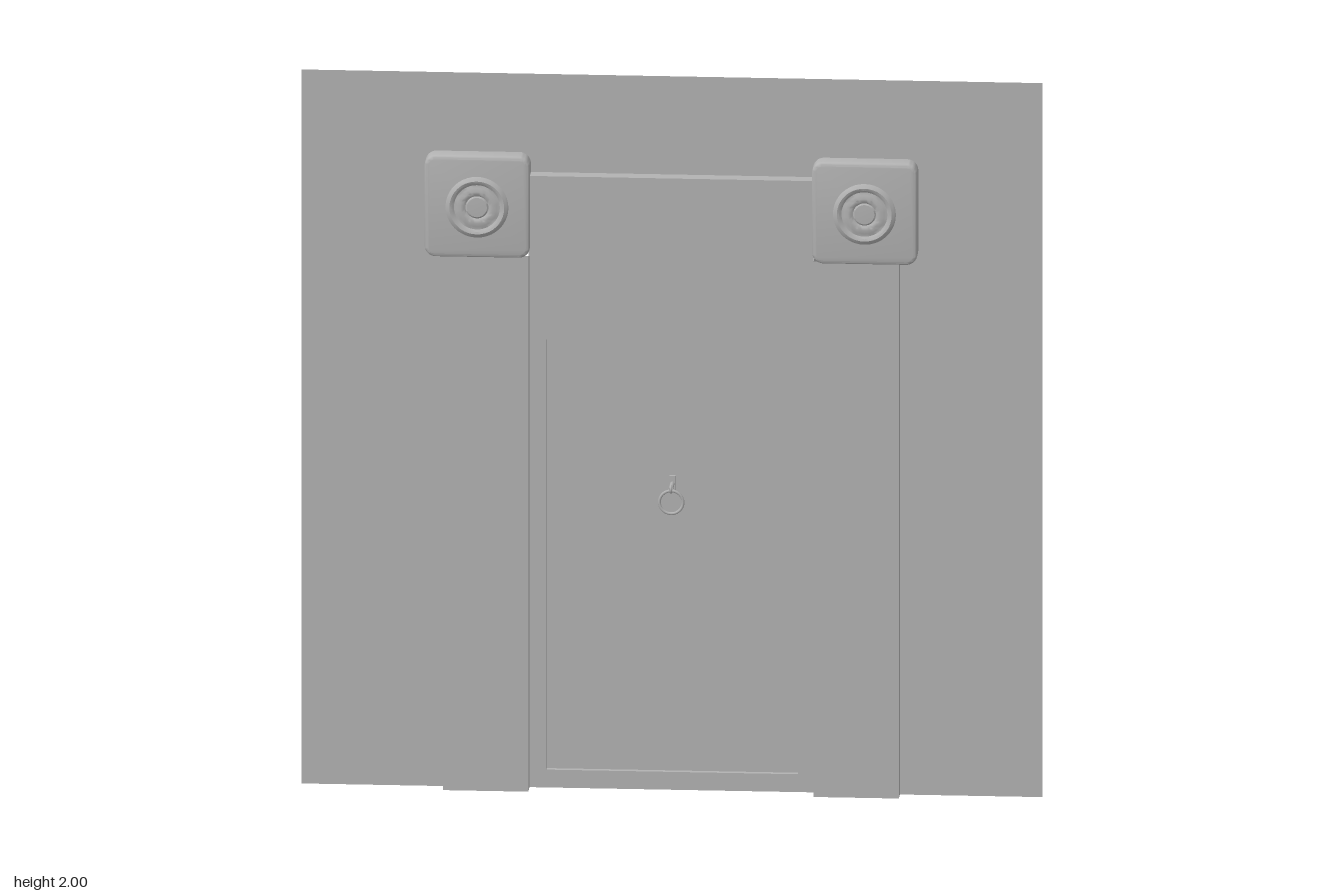
import * as THREE from 'three';
import { toCreasedNormals } from 'three/addons/utils/BufferGeometryUtils.js';

const WALL_Z = 0.08, FRONT_Z = 0.12, BACK_Z = -0.14;
const OPEN_X = 0.385, OPEN_Y = 1.5, PILLAR_X = 0.615;

export function createModel() {
  const root = new THREE.Group();
  root.name = 'doorway';
  const stone = new THREE.MeshStandardMaterial({ color: 0xb2b2b2, side: THREE.DoubleSide });
  stone.name = 'grey stone';

  const add = (name, geometry, x = 0, y = 0, z = 0, parent = root) => {
    const mesh = new THREE.Mesh(geometry, stone);
    mesh.name = name;
    mesh.position.set(x, y, z);
    parent.add(mesh);
    return mesh;
  };
  const polygon = (pts) => new THREE.Shape(pts.map(([x, y]) => new THREE.Vector2(x, y)));
  // Flat sheets facing sideways, upwards or forwards
  const sideSheet = (name, x, y0, y1, z0, z1) =>
    add(name, new THREE.PlaneGeometry(z1 - z0, y1 - y0).rotateY(Math.sign(x) * Math.PI / 2), x, (y0 + y1) / 2, (z0 + z1) / 2);
  const flatSheet = (name, x0, x1, y, z0, z1) =>
    add(name, new THREE.PlaneGeometry(x1 - x0, z1 - z0).rotateX(-Math.PI / 2), (x0 + x1) / 2, y, (z0 + z1) / 2);
  const frontSheet = (name, x0, x1, y0, y1, z) =>
    add(name, new THREE.PlaneGeometry(x1 - x0, y1 - y0), (x0 + x1) / 2, (y0 + y1) / 2, z);

  // Thin wall with an opening behind the pillars
  add('wall', new THREE.ShapeGeometry(polygon([
    [-1, 0], [-0.5, 0], [-0.5, OPEN_Y], [0.5, OPEN_Y], [0.5, 0], [1, 0], [1, 2], [-1, 2],
  ])), 0, 0, WALL_Z);

  // Deep reveal running back from the opening
  flatSheet('revealTop', -OPEN_X, OPEN_X, OPEN_Y, BACK_Z, FRONT_Z);

  // Lintel
  frontSheet('lintelFront', -OPEN_X, OPEN_X, OPEN_Y, 1.725, FRONT_Z);
  flatSheet('lintelTop', -OPEN_X, OPEN_X, 1.725, WALL_Z, FRONT_Z);

  // Corner block: rounded outline, soft front edge, flat back
  const h = 0.132, r = 0.02, bevel = 0.01;
  const outline = new THREE.Shape();
  [[1, -1], [1, 1], [-1, 1], [-1, -1]].forEach(([sx, sy], i) => {
    outline.absarc(sx * (h - r), sy * (h - r), r, (i - 1) * Math.PI / 2, i * Math.PI / 2, false);
  });
  const block = new THREE.ExtrudeGeometry(outline, {
    depth: 0.042, bevelEnabled: true, bevelSize: bevel, bevelThickness: bevel, bevelSegments: 3, curveSegments: 4,
  });
  const p = block.attributes.position;
  for (let i = 0; i < p.count; i++) p.setZ(i, Math.max(0, p.getZ(i)));
  const blockGeometry = toCreasedNormals(block, 0.7);

  // Round rosette with a raised rim, a groove and a centre boss
  const rosette = toCreasedNormals(new THREE.LatheGeometry([
    [0.086, -0.001], [0.080, 0.005], [0.074, 0.008], [0.068, 0.006], [0.062, 0.001],
    [0.054, 0.003], [0.044, 0.006], [0.036, 0.005], [0.031, 0.001], [0.027, 0.004], [0, 0.005],
  ].map(([x, y]) => new THREE.Vector2(x, y)), 40).rotateX(Math.PI / 2), 0.6);

  for (const s of [-1, 1]) {
    const side = s > 0 ? 'left' : 'right';
    const [a, b] = s > 0 ? [OPEN_X, PILLAR_X] : [-PILLAR_X, -OPEN_X];
    sideSheet(side + 'Reveal', s * OPEN_X, 0, OPEN_Y, BACK_Z, FRONT_Z);
    frontSheet(side + 'PillarFront', a, b, 0, OPEN_Y, FRONT_Z);
    sideSheet(side + 'PillarSide', s * PILLAR_X, 0, OPEN_Y, WALL_Z, FRONT_Z);
    add(side + 'CornerBlock', blockGeometry, s * 0.523, 1.638, WALL_Z);
    add(side + 'Rosette', rosette, s * 0.523, 1.638, 0.132);
  }

  // Door slab with an arched panel sunk into both faces
  const arch = [
    [-0.34, 0.05], [0.34, 0.05], [0.34, 1.255], [0.255, 1.355], [0.13, 1.413],
    [0, 1.45], [-0.13, 1.413], [-0.255, 1.355], [-0.34, 1.255],
  ];
  const slab = polygon([[-OPEN_X, 0], [OPEN_X, 0], [OPEN_X, OPEN_Y], [-OPEN_X, OPEN_Y]]);
  slab.holes.push(polygon(arch));
  add('doorFrame', new THREE.ExtrudeGeometry(slab, { depth: 0.06, bevelEnabled: false }), 0, 0, 0.015);
  add('doorPanel', new THREE.ExtrudeGeometry(polygon(arch), { depth: 0.035, bevelEnabled: false }), 0, 0, 0.025);

  // Ring knocker on a small bracket
  const knocker = new THREE.Group();
  knocker.name = 'knocker';
  root.add(knocker);
  add('knockerPlate', new THREE.BoxGeometry(0.016, 0.04, 0.012), 0, 0.857, 0.064, knocker);
  add('knockerStem', new THREE.CylinderGeometry(0.006, 0.006, 0.06, 10).rotateX(Math.PI / 2), 0, 0.856, 0.093, knocker);
  add('knockerEye', new THREE.TorusGeometry(0.009, 0.003, 8, 16).rotateY(Math.PI / 2), 0, 0.854, 0.117, knocker);
  add('knockerRing', new THREE.TorusGeometry(0.032, 0.004, 8, 28), 0, 0.816, 0.112, knocker);

  return root;
}
